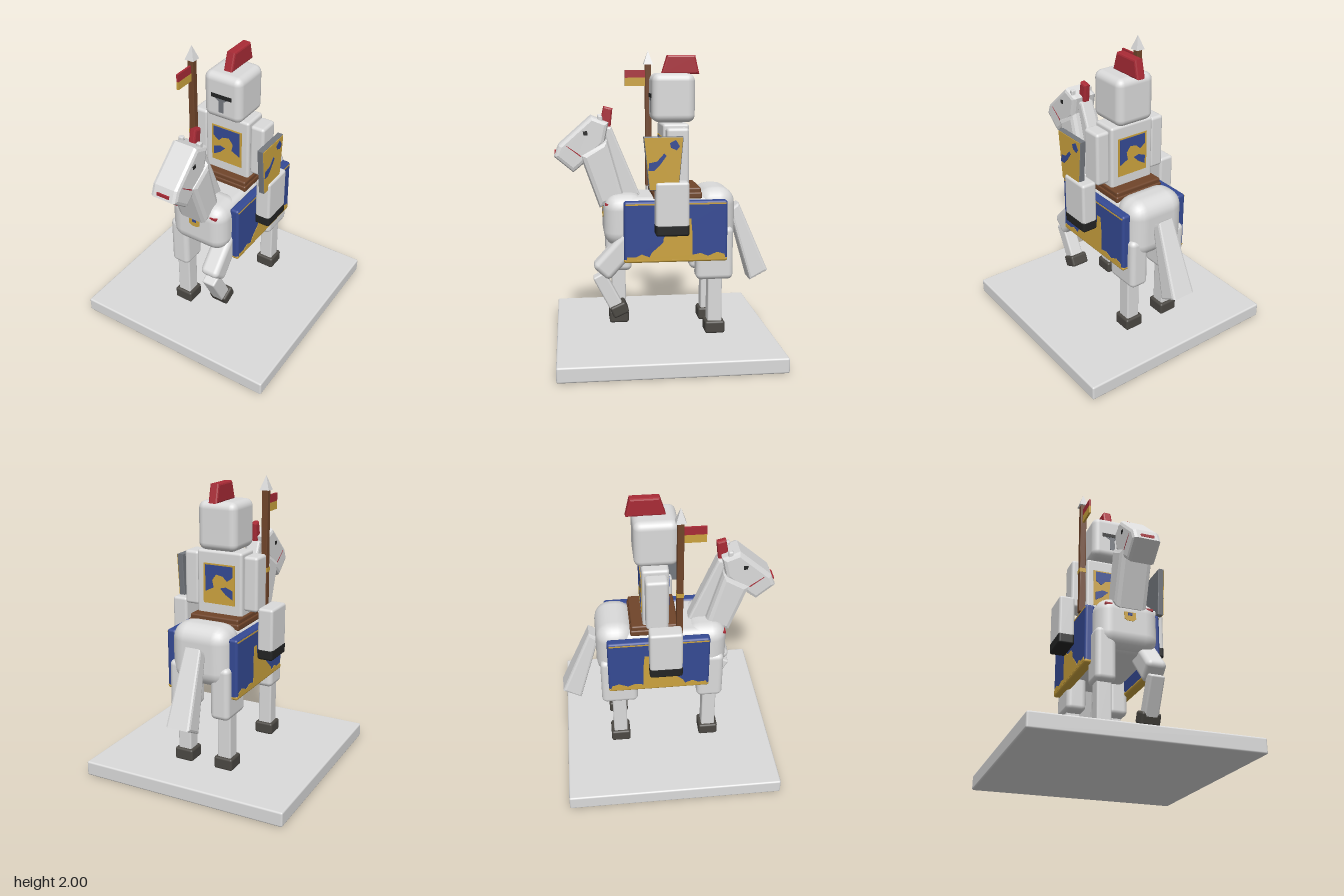
import * as THREE from 'three';
import { RoundedBoxGeometry } from 'three/addons/geometries/RoundedBoxGeometry.js';

const paint = (name, color) => {
  const m = new THREE.MeshStandardMaterial({ color });
  m.name = name;
  return m;
};

export function createModel() {
  const white = paint('white', 0xdadada), blue = paint('blue', 0x354a94);
  const gold = paint('gold', 0xcca33e), red = paint('red', 0xa92b36);
  const brown = paint('brown', 0x70452a), dark = paint('dark hoof', 0x4b4843);
  const black = paint('black', 0x232424), steel = paint('steel', 0x75797f);
  const model = new THREE.Group();
  model.name = 'mountedKnight';

  function add(name, geo, mat, parent = model) {
    const m = new THREE.Mesh(geo, mat);
    m.name = name;
    parent.add(m);
    return m;
  }
  // rounded box given by its lower and upper limits
  function block(name, mat, [x0, x1], [y0, y1], [z0, z1], r = 0.02, parent = model) {
    const size = [x1 - x0, y1 - y0, z1 - z0];
    const geo = r ? new RoundedBoxGeometry(...size, 3, r) : new THREE.BoxGeometry(...size);
    const m = add(name, geo, mat, parent);
    m.position.set((x0 + x1) / 2, (y0 + y1) / 2, (z0 + z1) / 2);
    return m;
  }
  // side profile of [z, y] points, extruded across x with a bevel
  function slab(name, mat, pts, width, x = 0, r = 0, parent = model) {
    const shape = new THREE.Shape(pts.map(p => new THREE.Vector2(...p)));
    const geo = new THREE.ExtrudeGeometry(shape, {
      depth: width - 2 * r, bevelEnabled: r > 0, bevelSize: r, bevelThickness: r,
      bevelOffset: -r, bevelSegments: 2,
    });
    geo.translate(0, 0, r - width / 2).rotateY(-Math.PI / 2);
    const m = add(name, geo, mat, parent);
    m.position.x = x;
    return m;
  }
  // flat plate of [x, y] points facing front or back
  function plate(name, mat, pts, z, parent = model) {
    const shape = new THREE.Shape(pts.map(p => new THREE.Vector2(...p)));
    const geo = new THREE.ExtrudeGeometry(shape, { depth: 0.006, bevelEnabled: false });
    add(name, geo, mat, parent).position.z = z - 0.003;
  }
  // rounded limb between two [y, z] points
  function limb(name, mat, x, a, b, w, d, r, parent) {
    const dy = a[0] - b[0], dz = a[1] - b[1];
    const m = add(name, new RoundedBoxGeometry(w, Math.hypot(dy, dz), d, 3, r), mat, parent);
    m.position.set(x, (a[0] + b[0]) / 2, (a[1] + b[1]) / 2);
    m.rotation.x = Math.atan2(dz, dy);
  }

  block('base', white, [-0.725, 0.725], [0.005, 0.105], [-0.725, 0.725], 0.012);

  // Horse body
  const horse = new THREE.Group();
  horse.name = 'horse';
  model.add(horse);
  block('barrel', white, [-0.195, 0.195], [0.7, 1.045], [-0.36, 0.34], 0.05, horse);
  block('chest', white, [-0.21, 0.21], [0.71, 1.06], [0.12, 0.4], 0.1, horse);
  block('rump', white, [-0.21, 0.21], [0.69, 1.1], [-0.48, -0.22], 0.11, horse);
  slab('neck', white, [[0.55, 1.32], [0.425, 0.965], [0.26, 1.03], [0.37, 1.42]], 0.22, 0, 0.035, horse);
  slab('mane', white, [[0.4, 1.5], [0.34, 1.5], [0.15, 1.04], [0.27, 1.02]], 0.1, 0, 0.015, horse);

  // Horse head with its markings
  slab('horseHead', white, [[0.475, 1.575], [0.36, 1.53], [0.39, 1.39], [0.54, 1.25],
    [0.595, 1.205], [0.72, 1.31], [0.69, 1.385]], 0.188, 0, 0.025, horse);
  slab('forelockPlume', red, [[0.39, 1.635], [0.33, 1.62], [0.345, 1.48], [0.415, 1.51]], 0.046, 0, 0.012, horse);
  slab('eyes', black, [[0.53, 1.475], [0.5, 1.48], [0.5, 1.45], [0.525, 1.45]], 0.192, 0, 0, horse);
  slab('mouthLine', red, [[0.64, 1.385], [0.635, 1.377], [0.545, 1.308], [0.545, 1.318]], 0.191, 0, 0, horse);
  block('mouthFront', red, [-0.045, 0.045], [1.325, 1.345], [0.697, 0.716], 0, horse);
  for (const s of [-1, 1])
    block('ear', white, [s * 0.065 - 0.016, s * 0.065 + 0.016], [1.53, 1.577], [0.4, 0.43], 0.008, horse);

  // Chest harness
  for (const s of [-1, 1])
    block('chestStrap', red, [s * 0.14 - 0.024, s * 0.14 + 0.024], [0.99, 1.004], [0.36, 0.392], 0, horse);
  plate('chestBadge', gold, [[-0.04, 0.95], [-0.04, 0.905], [-0.02, 0.89], [0.02, 0.89], [0.04, 0.905], [0.04, 0.95]], 0.401, horse);
  plate('badgeMark', blue, [[-0.015, 0.945], [-0.015, 0.925], [0.015, 0.925], [0.015, 0.945]], 0.404, horse);

  // Standing legs
  for (const [x, z] of [[-0.15, 0.29], [-0.15, -0.34], [0.15, -0.34]]) {
    const front = z > 0, back = front ? 0.1 : 0.13;
    block('upperLeg', white, [x - 0.068, x + 0.068], [0.48, 0.84], [z - back + 0.01, z + (front ? 0.09 : 0.13)], 0.035, horse);
    block('lowerLeg', white, [x - 0.048, x + 0.048], [0.17, 0.55], [z - 0.048, z + 0.048], 0.01, horse);
    block('hoof', dark, [x - 0.067, x + 0.067], [0.105, 0.19], [z - 0.067, z + 0.067], 0.015, horse);
  }
  // Raised front leg
  limb('raisedUpperLeg', white, 0.15, [0.82, 0.17], [0.54, 0.43], 0.136, 0.15, 0.035, horse);
  limb('raisedLowerLeg', white, 0.15, [0.53, 0.44], [0.28, 0.31], 0.095, 0.09, 0.012, horse);
  block('raisedHoof', dark, [0.085, 0.215], [0.25, 0.33], [0.25, 0.36], 0.015, horse).rotation.x = 0.42;

  // Tail, wider towards its tip
  const tail = slab('tail', white, [[-0.46, 0.93], [-0.525, 0.975], [-0.73, 0.5], [-0.605, 0.435]], 0.18, 0, 0.018, horse);
  const tp = tail.geometry.attributes.position;
  for (let i = 0; i < tp.count; i++)
    tp.setX(i, tp.getX(i) * THREE.MathUtils.mapLinear(tp.getY(i), 0.44, 0.97, 1, 0.66));
  tail.geometry.computeVertexNormals();

  // Blanket panels with gold trim
  for (const s of [-1, 1]) {
    const side = new THREE.Group();
    side.name = s > 0 ? 'leftBlanket' : 'rightBlanket';
    model.add(side);
    const c = s * 0.225, fx = s * 0.2565;
    block('blanketPanel', blue, [c - 0.033, c + 0.033], [0.625, 1.03], [-0.41, 0.275], 0.018, side);
    block('bottomTrim', gold, [c - 0.034, c + 0.034], [0.622, 0.652], [-0.411, 0.276], 0.014, side);
    block('topTrim', gold, [c - 0.034, c + 0.034], [1.006, 1.016], [-0.4, 0.265], 0, side);
    slab('blanketEmblem', gold, [[0.26, 0.64], [0.255, 0.665], [0.2, 0.66], [0.16, 0.68], [0.11, 0.66],
      [0.095, 0.69], [0.02, 0.755], [0.015, 0.79], [-0.02, 0.82], [-0.1, 0.82], [-0.13, 0.87],
      [-0.13, 0.915], [-0.165, 0.915], [-0.175, 0.8], [-0.175, 0.67], [-0.23, 0.68], [-0.28, 0.66],
      [-0.34, 0.685], [-0.39, 0.67], [-0.395, 0.64]], 0.008, fx, 0, side);
  }

  block('saddle', brown, [-0.185, 0.185], [1.03, 1.075], [-0.25, 0.075], 0.012);
  block('saddleSeat', brown, [-0.178, 0.178], [1.06, 1.105], [-0.243, 0.068], 0.012);

  // Rider body
  const rider = new THREE.Group();
  rider.name = 'rider';
  model.add(rider);
  block('torso', white, [-0.165, 0.165], [1.09, 1.525], [-0.165, 0.01], 0.018, rider);
  for (const z of [0.011, -0.166]) {
    const out = z > 0 ? 0.003 : -0.003;
    plate('tabard', gold, [[-0.115, 1.44], [-0.115, 1.17], [0.115, 1.17], [0.115, 1.44]], z, rider);
    plate('tabardTop', blue, [[-0.1, 1.43], [-0.1, 1.36], [-0.06, 1.33], [-0.03, 1.36], [0.02, 1.37],
      [0.05, 1.33], [0.04, 1.28], [0.1, 1.25], [0.1, 1.43]], z + out, rider);
    plate('tabardPatch', blue, [[-0.1, 1.27], [-0.1, 1.21], [-0.05, 1.24], [-0.01, 1.28], [-0.05, 1.29]], z + out, rider);
  }
  for (const s of [-1, 1]) {
    const span = (a, b) => [Math.min(s * a, s * b), Math.max(s * a, s * b)];
    block('upperArm', white, span(0.165, 0.268), [1.14, 1.505], [-0.15, -0.005], 0.02, rider);
    block('forearm', white, span(0.266, 0.374), [0.87, 1.17], [-0.138, 0.078], 0.018, rider);
    block('glove', black, span(0.265, 0.375), [0.82, 0.9], [-0.139, 0.079], 0.016, rider);
  }

  // Helmet
  block('helmet', white, [-0.14, 0.14], [1.53, 1.85], [-0.21, 0.075], 0.05, rider);
  block('visorSlit', black, [-0.075, 0.075], [1.69, 1.717], [0.07, 0.079], 0, rider);
  plate('noseGuard', steel, [[-0.05, 1.69], [-0.018, 1.67], [-0.018, 1.59], [0.018, 1.59], [0.018, 1.67], [0.05, 1.69]], 0.0745, rider);
  slab('helmetPlume', red, [[0.003, 1.845], [-0.035, 1.967], [-0.222, 1.967], [-0.25, 1.845]], 0.064, 0, 0.012, rider);

  // Shield
  slab('shield', steel, [[0.155, 1.46], [-0.1, 1.46], [-0.07, 1.12], [0.12, 1.12]], 0.04, 0.336, 0.005);
  slab('shieldFace', gold, [[0.15, 1.455], [-0.095, 1.455], [-0.066, 1.125], [0.116, 1.125]], 0.006, 0.357);
  slab('shieldMark', blue, [[0.125, 1.245], [0.12, 1.295], [0.07, 1.305], [0.025, 1.355], [0.01, 1.34],
    [0.05, 1.285], [0.09, 1.245]], 0.004, 0.3605);
  slab('shieldMark', blue, [[-0.01, 1.42], [-0.05, 1.44], [-0.075, 1.4], [-0.055, 1.375], [-0.02, 1.39]], 0.004, 0.3605);

  // Lance with pennant
  const lance = new THREE.Group();
  lance.name = 'lance';
  lance.position.set(-0.22, 0, 0.07);
  model.add(lance);
  block('shaft', brown, [-0.021, 0.021], [1.065, 1.91], [-0.021, 0.021], 0.004, lance);
  block('band', gold, [-0.023, 0.023], [1.365, 1.395], [-0.023, 0.023], 0, lance);
  const tipGeo = new THREE.ConeGeometry(0.046, 0.095, 4).toNonIndexed();
  tipGeo.rotateY(Math.PI / 4).computeVertexNormals();
  add('tip', tipGeo, white, lance).position.y = 1.9525;
  block('pennantTop', red, [-0.007, 0.007], [1.815, 1.867], [0.02, 0.16], 0, lance);
  block('pennantBottom', gold, [-0.007, 0.007], [1.76, 1.815], [0.02, 0.16], 0, lance);

  return model;
}
